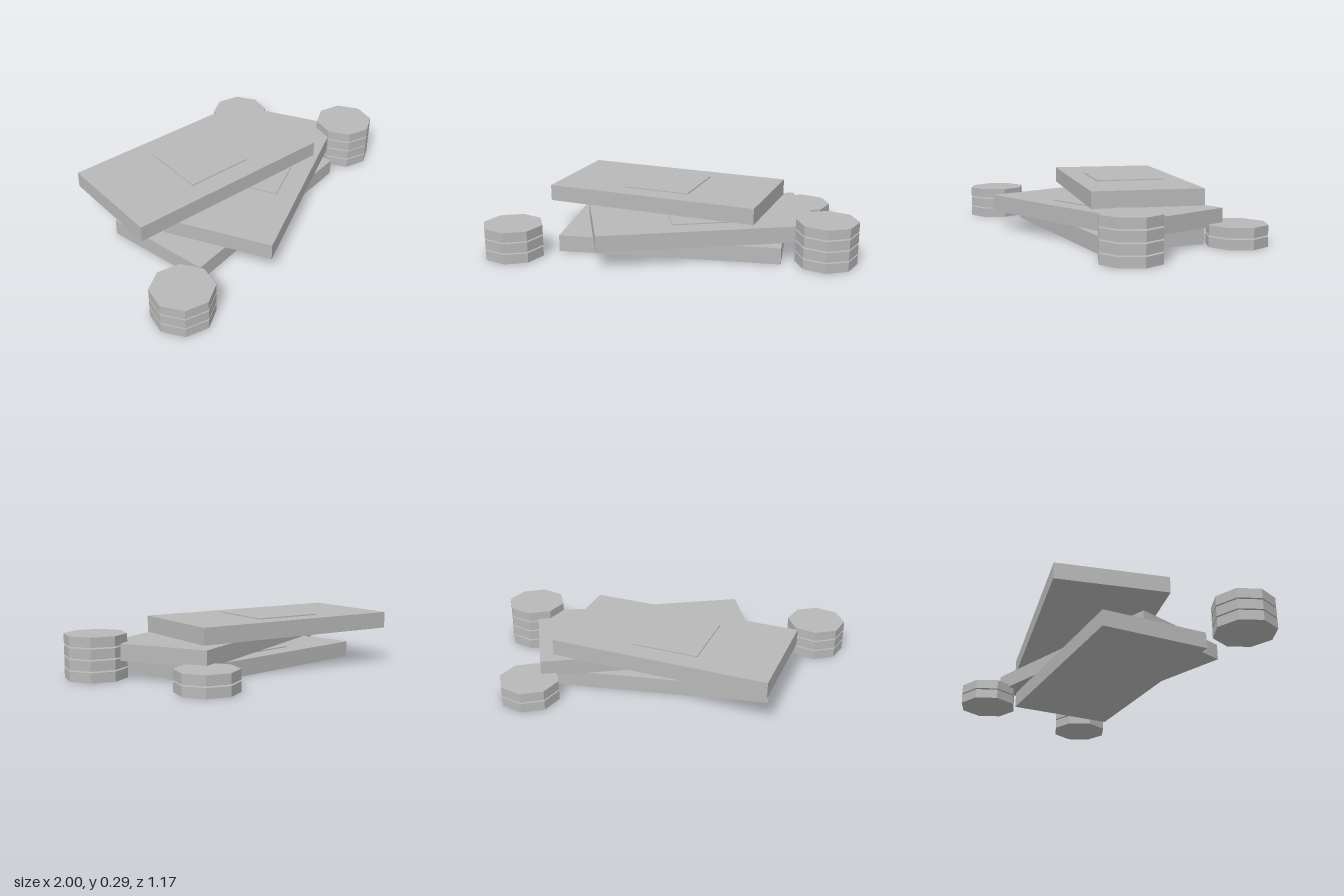
import * as THREE from 'three';

export function createModel() {
  const root = new THREE.Group();
  const grey = new THREE.MeshStandardMaterial({ color: 0xb8b8b8 });
  grey.name = 'plain grey';

  // Banknote bundles, fanned out on top of each other, each with a raised square label
  const bundleGeo = new THREE.BoxGeometry(1.208, 0.09, 0.603);
  const labelGeo = new THREE.BoxGeometry(0.378, 0.007, 0.378);
  const bundles = [
    { x: -0.002, z: 0.03, turn: 0 },
    { x: 0.147, z: 0.108, turn: 0.314 },
    { x: -0.078, z: -0.12, turn: -0.209 },
  ];
  bundles.forEach(({ x, z, turn }, i) => {
    const group = new THREE.Group();
    group.name = `banknoteBundle${i + 1}`;
    const block = new THREE.Mesh(bundleGeo, grey);
    block.name = 'bundleBlock';
    block.position.y = 0.045;
    const label = new THREE.Mesh(labelGeo, grey);
    label.name = 'bundleLabel';
    label.position.y = 0.0925;
    group.add(block, label);
    group.position.set(x, i * 0.0995, z);
    group.rotation.y = turn;
    root.add(group);
  });

  // Stacks of eight-sided coins, with a small gap between coins
  const coinGeo = new THREE.CylinderGeometry(0.165, 0.165, 0.053, 8).toNonIndexed();
  coinGeo.computeVertexNormals(); // faceted rim
  const stacks = [
    { name: 'rightCoinStack', x: -0.835, z: 0.412, count: 3 },
    { name: 'leftCoinStack', x: 0.835, z: 0.26, count: 4 },
    { name: 'backCoinStack', x: 0.68, z: -0.42, count: 2 },
  ];
  for (const { name, x, z, count } of stacks) {
    const stack = new THREE.Group();
    stack.name = name;
    for (let i = 0; i < count; i++) {
      const coin = new THREE.Mesh(coinGeo, grey);
      coin.name = `coin${i + 1}`;
      coin.position.y = 0.0265 + i * 0.0605;
      stack.add(coin);
    }
    stack.position.set(x, 0, z);
    root.add(stack);
  }

  return root;
}
